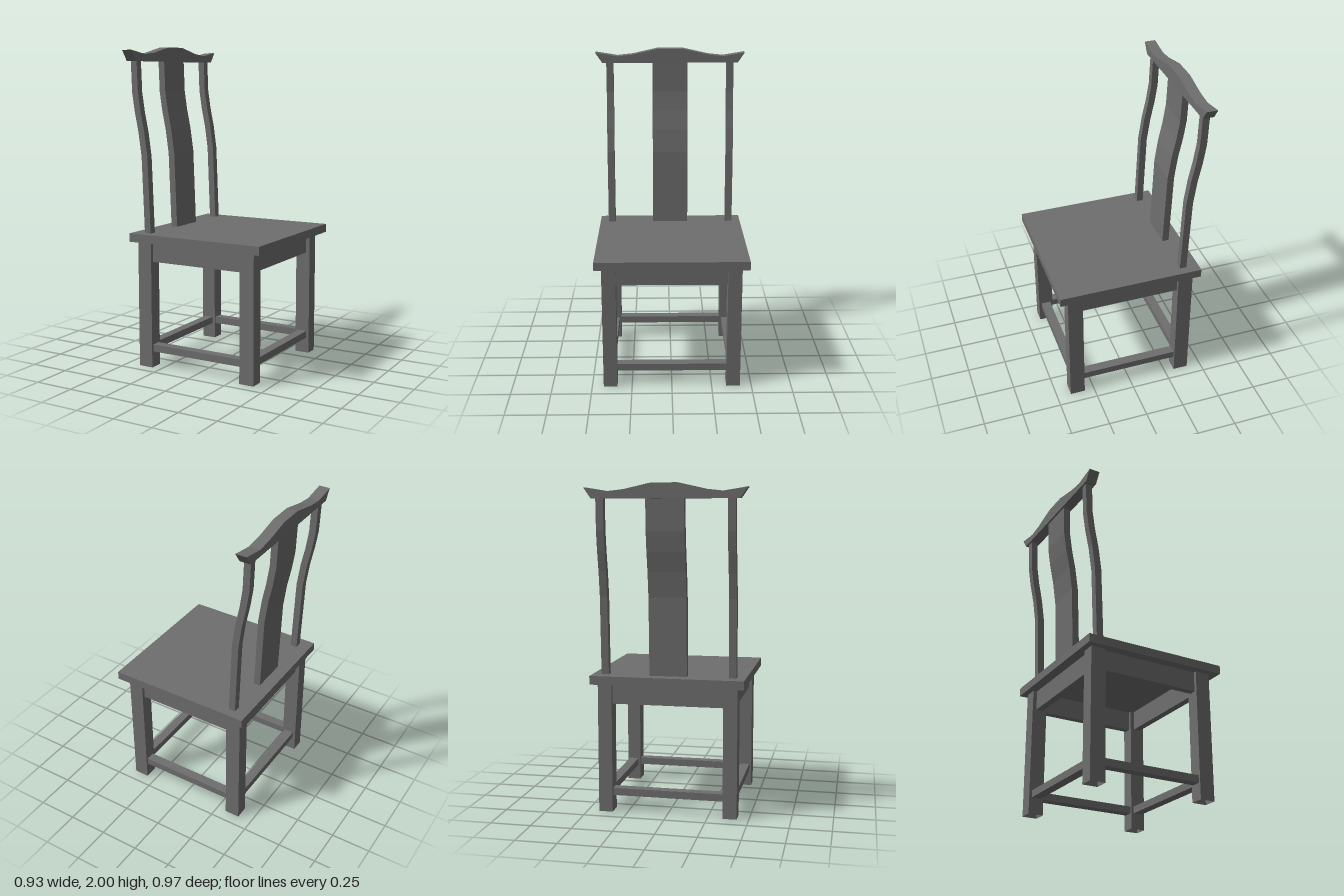
import * as THREE from 'three';

const material = new THREE.MeshStandardMaterial({
  color: 0x6e6e6e, flatShading: true, side: THREE.DoubleSide,
});

export function createModel() {
  const chair = new THREE.Group();
  chair.name = 'chair';

  const add = (name, geometry) => {
    const mesh = new THREE.Mesh(geometry, material);
    mesh.name = name;
    chair.add(mesh);
    return mesh;
  };
  const box = (name, w, h, d, x, y, z) =>
    add(name, new THREE.BoxGeometry(w, h, d)).position.set(x, y, z);
  const extrude = (points, depth) =>
    new THREE.ExtrudeGeometry(
      new THREE.Shape(points.map(([x, y]) => new THREE.Vector2(x, y))),
      { depth, bevelEnabled: false });

  // Seat board; the backrest stands along its -x edge
  box('seat', 0.911, 0.053, 0.939, 0.01, 0.8265, 0);

  // Square leg, open at its ends
  const legGeometry = new THREE.CylinderGeometry(Math.SQRT1_2, Math.SQRT1_2, 0.8, 4, 1, true);
  legGeometry.rotateY(Math.PI / 4).scale(0.095, 1, 0.086);

  // Legs, with aprons and stretchers between them
  const legX = 0.361, legZ = 0.385;
  for (const s of [-1, 1]) {
    for (const t of [-1, 1]) add('leg', legGeometry).position.set(s * legX, 0.4, t * legZ);
    box('sideApron', 0.63, 0.125, 0.045, 0, 0.7375, s * legZ);
    box('endApron', 0.045, 0.125, 0.686, s * legX, 0.7375, 0);
    box('sideStretcher', 0.63, 0.045, 0.06, 0, 0.124, s * legZ);
    box('endStretcher', 0.06, 0.045, 0.686, s * legX, 0.124, 0);
  }

  // S-curved side profile shared by the back posts and the splat
  const curve = [
    [-0.366, 0.85], [-0.384, 1.33], [-0.405, 1.48], [-0.43, 1.6],
    [-0.448, 1.72], [-0.455, 1.92],
  ];
  const profile = [
    ...curve.map(([x, y]) => [x + 0.043, y]),
    ...curve.slice().reverse(),
  ];
  const backPiece = (name, width, z) =>
    add(name, extrude(profile, width)).position.z = z - width / 2;
  backPiece('backPost', 0.046, -0.392);
  backPiece('backPost', 0.046, 0.392);
  backPiece('splat', 0.23, 0);

  // Crest rail with a raised middle and upturned ends
  const half = [[0.44, 1.91], [0.485, 1.975], [0.343, 1.952], [0.243, 1.963], [0.078, 2.0]];
  const outline = [...half, ...half.slice().reverse().map(([z, y]) => [-z, y])];
  const rail = extrude(outline, 0.069);
  rail.rotateY(Math.PI / 2);
  add('crestRail', rail).position.x = -0.467;

  return chair;
}
